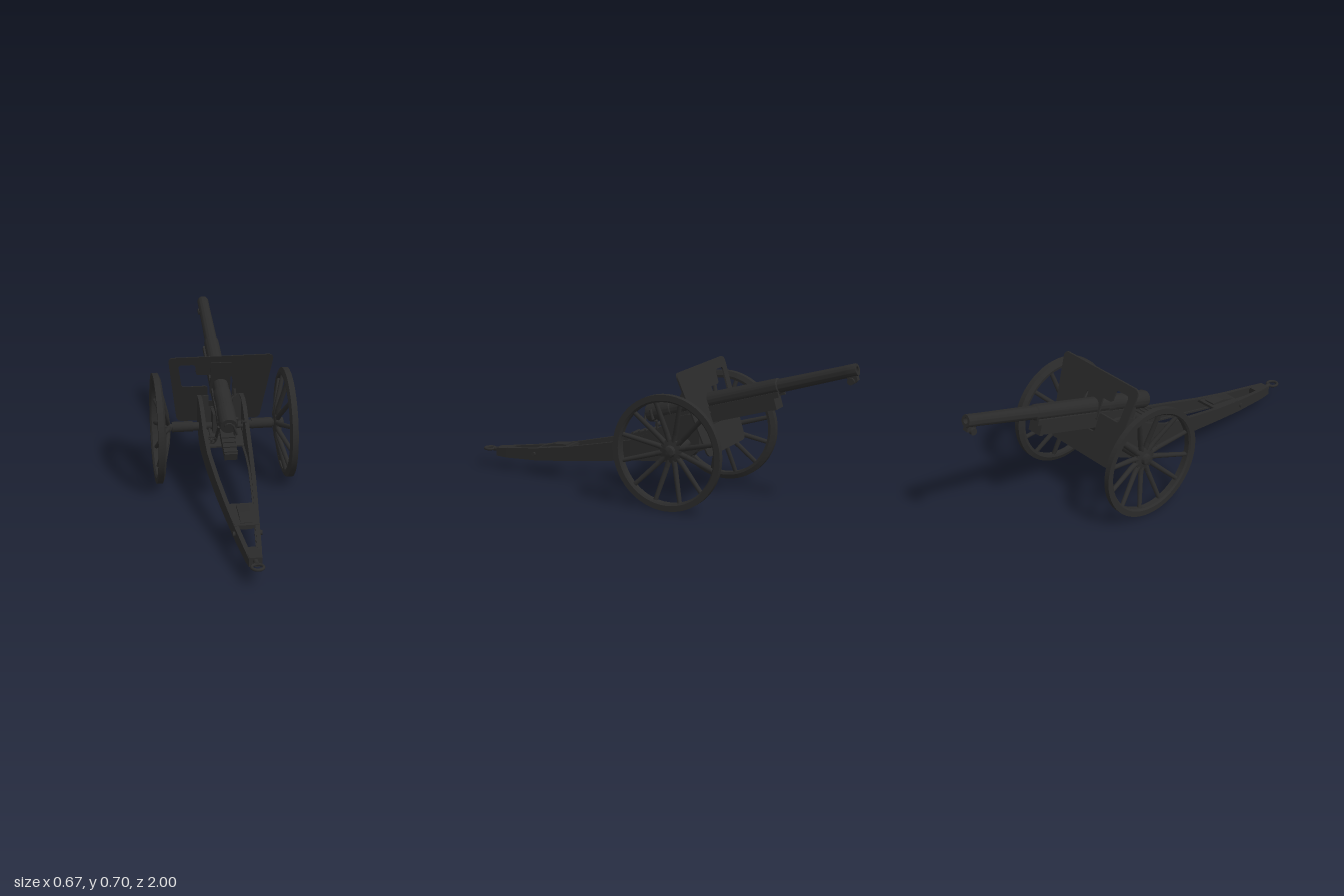
import * as THREE from 'three';
import { toCreasedNormals } from 'three/addons/utils/BufferGeometryUtils.js';

const steel = new THREE.MeshStandardMaterial({ color: 0x2a2a2a, side: THREE.DoubleSide });
steel.name = 'dark steel';

function add(parent, name, geometry) {
  const mesh = new THREE.Mesh(geometry, steel);
  mesh.name = name;
  parent.add(mesh);
  return mesh;
}

function box(parent, name, w, h, d, x, y, z) {
  const m = add(parent, name, new THREE.BoxGeometry(w, h, d));
  m.position.set(x, y, z);
  return m;
}

// Tapered round bar between two points
function rod(parent, name, a, b, r1, r2 = r1, sides = 16) {
  const p = new THREE.Vector3(...a), q = new THREE.Vector3(...b);
  const m = add(parent, name, new THREE.CylinderGeometry(r2, r1, p.distanceTo(q), sides));
  m.position.copy(p).add(q).multiplyScalar(0.5);
  m.quaternion.setFromUnitVectors(new THREE.Vector3(0, 1, 0), q.sub(p).normalize());
  return m;
}

function lathe(points, segments = 48) {
  return toCreasedNormals(
    new THREE.LatheGeometry(points.map(p => new THREE.Vector2(...p)), segments), 0.5);
}

// Closed outline with rounded corners
function rounded(path, points, r) {
  const pts = points.map(p => new THREE.Vector2(...p));
  const toward = (p, q) => p.clone().add(q.clone().sub(p).setLength(Math.min(r, p.distanceTo(q) / 2)));
  pts.forEach((p, i) => {
    const a = toward(p, pts.at(i - 1)), b = toward(p, pts[(i + 1) % pts.length]);
    i ? path.lineTo(a.x, a.y) : path.moveTo(a.x, a.y);
    path.quadraticCurveTo(p.x, p.y, b.x, b.y);
  });
  path.closePath();
  return path;
}

// Solid lofted through rectangles [z, xLow, xHigh, yLow, yHigh]
function loft(sections) {
  const corners = sections.map(([z, x0, x1, y0, y1]) =>
    [[x0, y0, z], [x1, y0, z], [x1, y1, z], [x0, y1, z]]);
  const out = [];
  const quad = (a, b, c, d) => out.push(...a, ...b, ...c, ...a, ...c, ...d);
  for (let i = 0; i + 1 < corners.length; i++) {
    for (let k = 0; k < 4; k++) {
      const n = (k + 1) % 4;
      quad(corners[i][k], corners[i][n], corners[i + 1][n], corners[i + 1][k]);
    }
  }
  quad(...[...corners[0]].reverse());
  quad(...corners.at(-1));
  const g = new THREE.BufferGeometry();
  g.setAttribute('position', new THREE.Float32BufferAttribute(out, 3));
  g.computeVertexNormals();
  return g;
}

// Leaning plate: outline in x and y, depth follows the height
function leaningPlate(shape, thickness, offset) {
  const g = new THREE.ExtrudeGeometry(shape, { depth: thickness, bevelEnabled: false, curveSegments: 8 });
  const p = g.attributes.position;
  for (let i = 0; i < p.count; i++) {
    p.setZ(i, p.getZ(i) + offset - 0.22 - (0.63 - p.getY(i)) * 0.37);
  }
  g.computeVertexNormals();
  return g;
}

function makeWheel(side) {
  const wheel = new THREE.Group();
  wheel.name = side > 0 ? 'leftWheel' : 'rightWheel';
  const rim = lathe([[0.272, 0.308], [0.272, 0.336], [0.245, 0.336], [0.237, 0.328],
    [0.237, 0.3], [0.25, 0.298], [0.272, 0.308]], 64);
  add(wheel, 'rim', rim.rotateZ(-Math.PI / 2));
  const hub = lathe([[0, 0.245], [0.016, 0.245], [0.02, 0.257], [0.05, 0.26], [0.055, 0.265],
    [0.055, 0.282], [0.028, 0.288], [0.024, 0.304], [0.014, 0.308], [0, 0.308]], 32);
  add(wheel, 'hub', hub.rotateZ(-Math.PI / 2));
  // Spokes leave the hub flat, then bend out to the rim
  for (let i = 0; i < 12; i++) {
    const a = (i + 0.5) * Math.PI / 6, c = Math.cos(a), s = Math.sin(a);
    const at = (x, r) => [x, r * c, r * s];
    rod(wheel, 'spokeRoot', at(0.271, 0.03), at(0.276, 0.085), 0.013, 0.0125, 10);
    rod(wheel, 'spoke', at(0.276, 0.083), at(0.313, 0.245), 0.0125, 0.0105, 10);
  }
  wheel.position.set(0, 0.272, -0.205);
  if (side < 0) wheel.rotation.y = Math.PI;
  return wheel;
}

// Barrel and cradle, built along z with the muzzle at the origin
function makeGun() {
  const gun = new THREE.Group();
  gun.name = 'gun';
  const barrel = lathe([[0, 0.06], [0.014, 0.06], [0.014, 0], [0.027, 0], [0.029, 0.006], [0.029, 0.055],
    [0.0285, 0.06], [0.032, 0.385], [0.037, 0.39], [0.039, 0.82], [0.043, 0.825], [0.043, 0.86],
    [0.041, 0.865], [0.041, 0.95], [0.044, 0.955], [0.044, 1.07],
    [0.04, 1.085], [0.022, 1.085], [0.022, 1.095], [0, 1.095]]);
  add(gun, 'barrel', barrel.rotateX(Math.PI / 2));
  // Guide rollers under the muzzle
  box(gun, 'muzzleBracket', 0.03, 0.03, 0.045, 0, -0.034, 0.03);
  for (const s of [-1, 1]) rod(gun, 'muzzleRoller', [s * 0.009, -0.045, 0.036], [s * 0.028, -0.045, 0.036], 0.016);
  // Recoil cradle
  box(gun, 'cradle', 0.072, 0.062, 0.59, 0, -0.069, 0.71);
  for (const s of [-1, 1]) box(gun, 'cradleRail', 0.012, 0.026, 0.61, s * 0.037, -0.035, 0.69);
  box(gun, 'cradleFrontCap', 0.08, 0.068, 0.02, 0, -0.068, 0.422);
  box(gun, 'cradleTail', 0.062, 0.036, 0.2, 0, -0.094, 1.1);
  for (let i = 0; i < 4; i++) box(gun, 'tailRib', 0.068, 0.012, 0.01, 0, -0.076, 1.075 + i * 0.036);
  // Breech lever
  rod(gun, 'breechLever', [0.02, 0.01, 1.09], [0.04, -0.04, 1.1], 0.006);
  rod(gun, 'breechHinge', [0.042, -0.03, 1.05], [0.042, 0.02, 1.05], 0.008);
  gun.position.set(0, 0.673, -0.99);
  gun.rotation.x = 0.2862;
  return gun;
}

function makeTrail() {
  const trail = new THREE.Group();
  trail.name = 'trail';
  // Stations: z, outer half width, bottom, top
  const stations = [[-0.27, 0.115, 0.25, 0.41], [-0.21, 0.115, 0.2, 0.41], [-0.15, 0.115, 0.172, 0.39],
    [-0.03, 0.114, 0.166, 0.31], [0.1, 0.109, 0.153, 0.25], [0.3, 0.094, 0.122, 0.205],
    [0.48, 0.076, 0.097, 0.165], [0.66, 0.057, 0.074, 0.134], [0.85, 0.037, 0.062, 0.11], [0.91, 0.029, 0.064, 0.102]];
  for (const s of [-1, 1]) {
    const strip = (wide, y) => loft(stations.map(([z, x, lo, hi]) => {
      const [a, b] = [s * x, s * (x - wide)].sort((m, n) => m - n);
      return [z, a, b, ...y(lo, hi)];
    }));
    add(trail, 'cheek', strip(0.012, (lo, hi) => [lo, hi]));
    add(trail, 'topFlange', strip(0.02, (lo, hi) => [hi - 0.008, hi + 0.001]));
    add(trail, 'bottomFlange', strip(0.022, (lo) => [lo - 0.001, lo + 0.008]));
    rod(trail, 'trailBolt', [s * 0.045, 0.105, 0.67], [s * 0.066, 0.105, 0.67], 0.011);
    box(trail, 'bulkheadWing', 0.055, 0.11, 0.008, s * 0.0865, 0.355, -0.262);
  }
  // Plates tying the cheeks together
  add(trail, 'bellyPlate', loft([[-0.27, -0.11, 0.11, 0.25, 0.258], [-0.15, -0.11, 0.11, 0.175, 0.183]]));
  box(trail, 'frontBulkhead', 0.22, 0.1, 0.008, 0, 0.3, -0.262);
  add(trail, 'middlePlate', loft([[0.478, -0.073, 0.073, 0.15, 0.163], [0.656, -0.055, 0.055, 0.122, 0.138]]));
  add(trail, 'toolBox', loft([[0.5, -0.028, 0.028, 0.15, 0.167], [0.57, -0.027, 0.027, 0.14, 0.163],
    [0.64, -0.026, 0.026, 0.11, 0.143]]));
  add(trail, 'tailBlock', loft([[0.82, -0.036, 0.036, 0.066, 0.114], [0.91, -0.027, 0.027, 0.066, 0.106]]));
  // Towing ring
  rod(trail, 'towShank', [0, 0.09, 0.9], [0, 0.09, 0.945], 0.011);
  const ring = add(trail, 'towRing', new THREE.TorusGeometry(0.026, 0.007, 10, 32));
  ring.rotation.x = Math.PI / 2;
  ring.position.set(0, 0.09, 0.967);
  return trail;
}

function makeShield() {
  const shield = new THREE.Group();
  shield.name = 'shield';
  const plate = rounded(new THREE.Shape(),
    [[-0.208, 0.243], [0.208, 0.243], [0.259, 0.628], [-0.261, 0.628]], 0.03);
  plate.holes.push(rounded(new THREE.Path(), [[-0.21, 0.583], [-0.127, 0.583], [-0.12, 0.521], [0.048, 0.521],
    [0.062, 0.49], [0.062, 0.36], [-0.06, 0.36], [-0.06, 0.453], [-0.19, 0.453]], 0.017));
  add(shield, 'shieldPlate', leaningPlate(plate, 0.008, 0));
  const cover = rounded(new THREE.Shape(), [[-0.05, 0.41], [0.05, 0.41], [0.05, 0.593], [-0.05, 0.593]], 0.002);
  add(shield, 'barrelCover', leaningPlate(cover, 0.008, 0.008));
  return shield;
}

function handwheel(parent, x, y, z, r) {
  const wheel = new THREE.Group();
  wheel.name = 'handwheel';
  add(wheel, 'handwheelRim', new THREE.TorusGeometry(r, 0.004, 8, 24));
  for (let i = 0; i < 3; i++) {
    const a = i * Math.PI * 2 / 3 + 0.5;
    rod(wheel, 'handwheelSpoke', [0, 0, 0], [r * Math.cos(a), r * Math.sin(a), 0], 0.003, 0.003, 8);
  }
  rod(wheel, 'handwheelShaft', [0, 0, -0.08], [0, 0, 0.008], 0.006);
  wheel.position.set(x, y, z);
  wheel.rotation.x = 0.35;
  parent.add(wheel);
}

export function createModel() {
  const model = new THREE.Group();
  model.name = 'fieldGun';
  model.add(makeGun(), makeTrail(), makeShield(), makeWheel(1), makeWheel(-1));

  // Axle with thicker sleeves and collars
  rod(model, 'axle', [-0.26, 0.272, -0.205], [0.26, 0.272, -0.205], 0.018);
  for (const s of [-1, 1]) {
    rod(model, 'axleSleeve', [s * 0.145, 0.274, -0.205], [s * 0.248, 0.274, -0.205], 0.026, 0.026, 24);
    rod(model, 'axleRoot', [s * 0.1, 0.272, -0.205], [s * 0.145, 0.272, -0.205], 0.021);
    rod(model, 'elevatingStrut', [s * 0.045, 0.24, -0.1], [s * 0.035, 0.33, -0.04], 0.008);
  }
  box(model, 'saddle', 0.1, 0.1, 0.09, 0, 0.3, -0.2);

  // Aiming gear
  handwheel(model, -0.075, 0.272, -0.02, 0.022);
  rod(model, 'crankShaft', [0.03, 0.335, -0.03], [0.078, 0.335, -0.03], 0.01);
  rod(model, 'crankArm', [0.076, 0.312, -0.03], [0.076, 0.357, -0.03], 0.005);
  rod(model, 'crankHandle', [0.076, 0.355, -0.03], [0.096, 0.355, -0.03], 0.005);
  rod(model, 'sightArm', [0.035, 0.415, -0.16], [0.056, 0.44, -0.17], 0.005);
  rod(model, 'sight', [0.058, 0.435, -0.17], [0.058, 0.47, -0.175], 0.008);
  return model;
}
